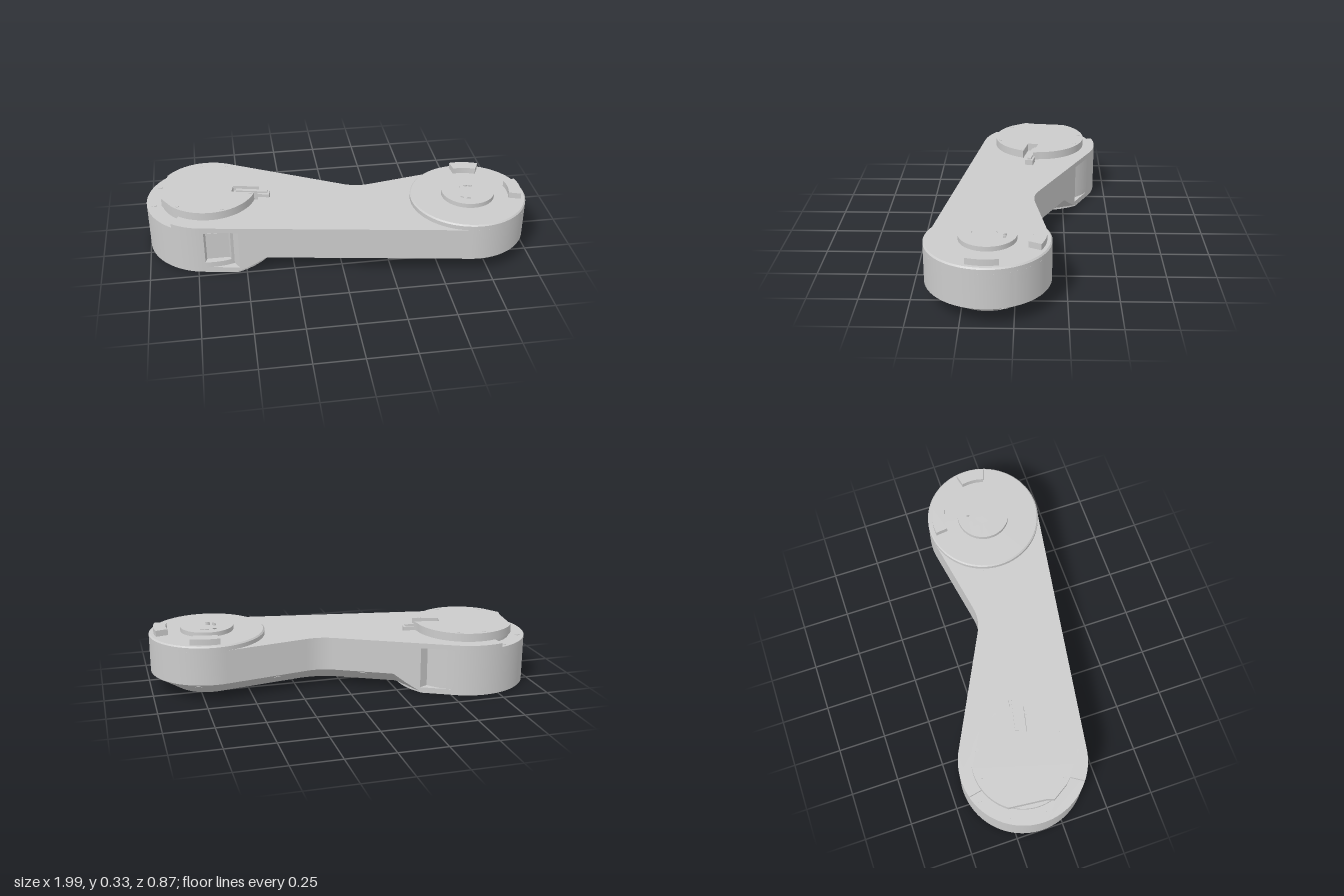
import * as THREE from 'three';
import { mergeGeometries, toCreasedNormals } from 'three/addons/utils/BufferGeometryUtils.js';

const MAT = new THREE.MeshStandardMaterial({ color: 0xcccccc });
const OPEN = new THREE.MeshStandardMaterial({ color: 0xcccccc, side: THREE.DoubleSide });
const V = (x, z) => new THREE.Vector2(x, z); // plan point: (x, z)
const L = V(-0.67, -0.11), R = V(0.69, 0.13), RL = 0.33, RR = 0.305;
const FRONT = 1.727, BACK = 5.18, RBACK = -1.75, NOTCH = 0.378;
const clamp = THREE.MathUtils.clamp;

const polar = (c, r, a) => V(c.x + r * Math.cos(a), c.y + r * Math.sin(a));
const arc = (c, r, a0, a1, n = 40) =>
  Array.from({ length: n + 1 }, (_, i) => polar(c, typeof r === 'function' ? r(a0 + (a1 - a0) * i / n) : r, a0 + (a1 - a0) * i / n));
const circle = (c, r, n = 20) => arc(c, r, 0, 2 * Math.PI, n).slice(0, n);
const line = (a, b, n) => Array.from({ length: n - 1 }, (_, i) => a.clone().lerp(b, (i + 1) / n));
const rect = (c, w, d, a = 0) => [[-1, -1], [1, -1], [1, 1], [-1, 1]].map(([i, j]) =>
  V(i * w / 2, j * d / 2).rotateAround(V(0, 0), a).add(c));
const sector = (c, r0, r1, a, h) => [...arc(c, r1, a - h, a + h, 12), ...arc(c, r0, a + h, a - h, 12)];

// Plan outline of the arm: two round ends, a straight front and a waisted back
function outline(leftRadius = RL) {
  const bend0 = V(0.06, -0.1095), bend1 = V(0.2, -0.0904);
  const lEnd = polar(L, RL, BACK), rStart = polar(R, RR, RBACK);
  const bend = new THREE.QuadraticBezierCurve(bend0, V(0.125, -0.077), bend1).getPoints(12);
  return [
    ...arc(L, leftRadius, FRONT, BACK, 110), ...line(lEnd, bend0, 70), ...bend,
    ...line(bend1, rStart, 20), ...arc(R, RR, RBACK, FRONT, 70),
    ...line(polar(R, RR, FRONT), polar(L, RL, FRONT), 140),
  ];
}

function mesh(geo, name, mat = MAT) {
  const m = new THREE.Mesh(geo, mat);
  m.name = name;
  return m;
}

// Upright slab from a plan outline with through holes
function plate(pts, y0, y1, name, holes = []) {
  const flip = (list) => list.map((p) => V(p.x, -p.y));
  const s = new THREE.Shape(flip(pts));
  s.holes = holes.map((h) => new THREE.Path(flip(h)));
  const geo = new THREE.ExtrudeGeometry(s, { depth: y1 - y0, bevelEnabled: false });
  geo.rotateX(-Math.PI / 2).translate(0, y0, 0);
  return mesh(toCreasedNormals(geo, 0.5), name);
}

function lathe(profile, c, name, mat = MAT) {
  const geo = new THREE.LatheGeometry(profile.map(([r, y]) => V(r, y)), 72);
  return mesh(toCreasedNormals(geo, 0.4).translate(c.x, 0, c.y), name, mat);
}

// Outward plan normals along a closed outline
const normals = (pts) => pts.map((p, i) => {
  const t = pts[(i + 1) % pts.length].clone().sub(pts.at(i - 1)).normalize();
  return V(t.y, -t.x);
});

// Arm body: stacked outlines with side notches, a front pocket and a chamfered underside
function armBody(pts, nrm) {
  const cut = pts.map((p) => clamp((p.distanceTo(L) - 0.38) / 0.085, 0, 1));
  const low = cut.map((t) => 0.01 + 0.085 * t);
  const notched = pts.map((p) => {
    const d = p.distanceTo(L);
    return d < NOTCH ? p.clone().sub(L).multiplyScalar(RL / d).add(L) : p;
  });
  const pocket = notched.map((p) => (p.x > -0.71 && p.x < -0.58 && p.y > 0 ? V(p.x, 0.185) : p));
  const inset = pts.map((p, i) => p.clone().addScaledVector(nrm[i], -0.13 * cut[i]));
  const at = (list, y) => list.map((p, i) => new THREE.Vector3(p.x, Math.max(y, low[i]), p.y));
  const rings = [at(pts, 0.25), at(pts, 0.245), at(notched, 0.245), at(notched, 0.24), at(pocket, 0.24),
    at(pocket, 0.06), at(notched, 0.06), at(notched, 0.03), at(pts, 0.03), at(pts, 0.01),
    inset.map((p) => new THREE.Vector3(p.x, 0.01, p.y))];
  const pos = [], n = pts.length;
  for (let k = 0; k + 1 < rings.length; k++) {
    for (let i = 0; i < n; i++) {
      const j = (i + 1) % n, a = rings[k], b = rings[k + 1];
      for (const t of [[a[i], a[j], b[i]], [a[j], b[j], b[i]]]) {
        if (new THREE.Triangle(...t).getArea() > 1e-9) t.forEach((v) => pos.push(v.x, v.y, v.z));
      }
    }
  }
  const wall = new THREE.BufferGeometry();
  wall.setAttribute('position', new THREE.Float32BufferAttribute(pos, 3));
  const top = new THREE.ShapeGeometry(new THREE.Shape(pts.map((p) => V(p.x, -p.y))));
  top.rotateX(-Math.PI / 2).translate(0, 0.25, 0);
  const under = new THREE.Shape(inset);
  under.holes.push(new THREE.Path(circle(L, 0.2, 72)));
  const bottom = new THREE.ShapeGeometry(under).rotateX(Math.PI / 2).translate(0, 0.01, 0);
  const parts = [wall, top, bottom].map((g) => {
    const f = g.index ? g.toNonIndexed() : g;
    f.deleteAttribute('uv');
    f.deleteAttribute('normal');
    return f;
  });
  return mesh(toCreasedNormals(mergeGeometries(parts), 0.45), 'armBody');
}

export function createModel() {
  const g = new THREE.Group();
  g.name = 'roboticArmLink';
  const pts = outline(), nrm = normals(pts);
  g.add(armBody(pts, nrm));

  // Top skin, stepped down around the outer left rim
  const skin = outline((a) => (a > 2.25 && a < 4.4 ? 0.25 : RL));
  const slot = [...arc(V(-0.27, -0.042), 0.027, -1.35, 1.79, 10), ...arc(V(-0.37, -0.064), 0.027, 1.79, 4.93, 10)];
  const screws = [V(-0.62, -0.4), V(-0.38, -0.15), V(-0.41, 0.025), V(-0.72, 0.175)];
  g.add(plate(skin, 0.25, 0.272, 'topSkin',
    [rect(V(0.37, -0.02), 0.055, 0.1, 0.12), slot, ...screws.map((c) => circle(c, 0.014))]));
  for (const c of [V(-0.79, -0.38), V(-0.93, -0.25), V(-0.96, -0.07)]) {
    g.add(plate(circle(c, 0.014), 0.25, 0.253, 'rimScrew'));
  }

  // Joint cover with a flat outer side and a cable slot
  const turn = 0.21;
  const gap = [[0.28, -0.03], [0.14, -0.03], [0.14, 0.03], [0.28, 0.03]]
    .map(([x, z]) => V(x, z).rotateAround(V(0, 0), turn).add(V(-0.68, -0.105)));
  const cover = [...arc(L, 0.255, 0.36, 2.45, 40), V(-0.918, -0.03), V(-0.905, -0.07), V(-0.885, -0.26),
    ...arc(L, 0.262, 3.85, 6.28, 50), ...gap];
  g.add(plate(cover, 0.27, 0.316, 'jointCover'));
  for (const a of [0.35, 1.25, 2.3, 4.55, 5.15]) {
    g.add(plate(circle(polar(L, 0.235, a + 0.05), 0.01, 12), 0.315, 0.318, 'coverScrew'));
  }
  g.add(plate(rect(V(-0.44, -0.073), 0.19, 0.045, turn), 0.26, 0.29, 'cablePlug'));
  g.add(plate(rect(V(-0.44, -0.073), 0.17, 0.02, turn), 0.29, 0.3, 'cablePlugRib'));

  // Connector inside the front pocket
  const socket = mesh(new THREE.BoxGeometry(0.1, 0.15, 0.02), 'frontConnector');
  socket.position.set(-0.645, 0.15, 0.19);
  g.add(socket);

  // Left base flange with bolt holes and recessed hub underneath
  const half = Math.acos(RL / 0.375);
  const flange = [...arc(L, RL, FRONT, BACK, 90),
    ...arc(L, 0.375, BACK + half, 2 * Math.PI + FRONT - half, 50)];
  const bolts = Array.from({ length: 10 }, (_, i) => circle(polar(L, 0.28, i * Math.PI / 5 + 0.2), 0.014));
  g.add(plate(flange, 0, 0.01, 'baseFlange', [circle(L, 0.2, 72), ...bolts]));
  g.add(lathe([[0.2, 0.005], [0.2, 0.035], [0.16, 0.035], [0.16, 0.018], [0.13, 0.018], [0.13, 0.01],
    [0.075, 0.01], [0.075, 0.02], [0.04, 0.02], [0.04, 0.06], [0, 0.06]], L, 'baseHub', OPEN));
  for (let i = 0; i < 4; i++) {
    g.add(plate(circle(polar(L, 0.1, i * Math.PI / 2 + 0.5), 0.012), 0.006, 0.011, 'hubScrew'));
  }

  // Right joint: turntable, drilled output ring and two stop tabs
  g.add(lathe([[RR, 0.25], [RR, 0.294], [RR - 0.007, 0.301], [0, 0.301]], R, 'turntable'));
  const ringHoles = [-1.95, -1.45, -0.9 - 0.55 + 0.3, 0.75, 1.75, 2.2, 3.8]
    .map((a) => circle(polar(R, 0.085, a), 0.012, 14));
  g.add(plate(circle(R, 0.14, 72), 0.3, 0.325, 'outputRing', [circle(R, 0.05, 36), ...ringHoles]));
  for (const a of [0.05, -1.4]) g.add(plate(sector(R, 0.215, 0.28, a, 0.28), 0.3, 0.333, 'stopTab'));

  // Screws set square to the chamfered underside
  const targets = [V(-0.12, 0.31), V(0.26, 0.37), V(0.643, 0.431), V(0.36, -0.12), V(-0.08, -0.19),
    ...[0.7, -0.3, -1.25].map((a) => polar(R, RR, a))];
  for (const t of targets) {
    let k = 0;
    pts.forEach((p, i) => { if (p.distanceTo(t) < pts[k].distanceTo(t)) k = i; });
    const n = nrm[k], p = pts[k].clone().addScaledVector(n, -0.034);
    const s = mesh(new THREE.CylinderGeometry(0.019, 0.019, 0.006, 20), 'chamferScrew');
    s.position.set(p.x, 0.074, p.y);
    s.quaternion.setFromUnitVectors(new THREE.Vector3(0, 1, 0),
      new THREE.Vector3(n.x * 0.085, -0.13, n.y * 0.085).normalize());
    g.add(s);
  }
  return g;
}
